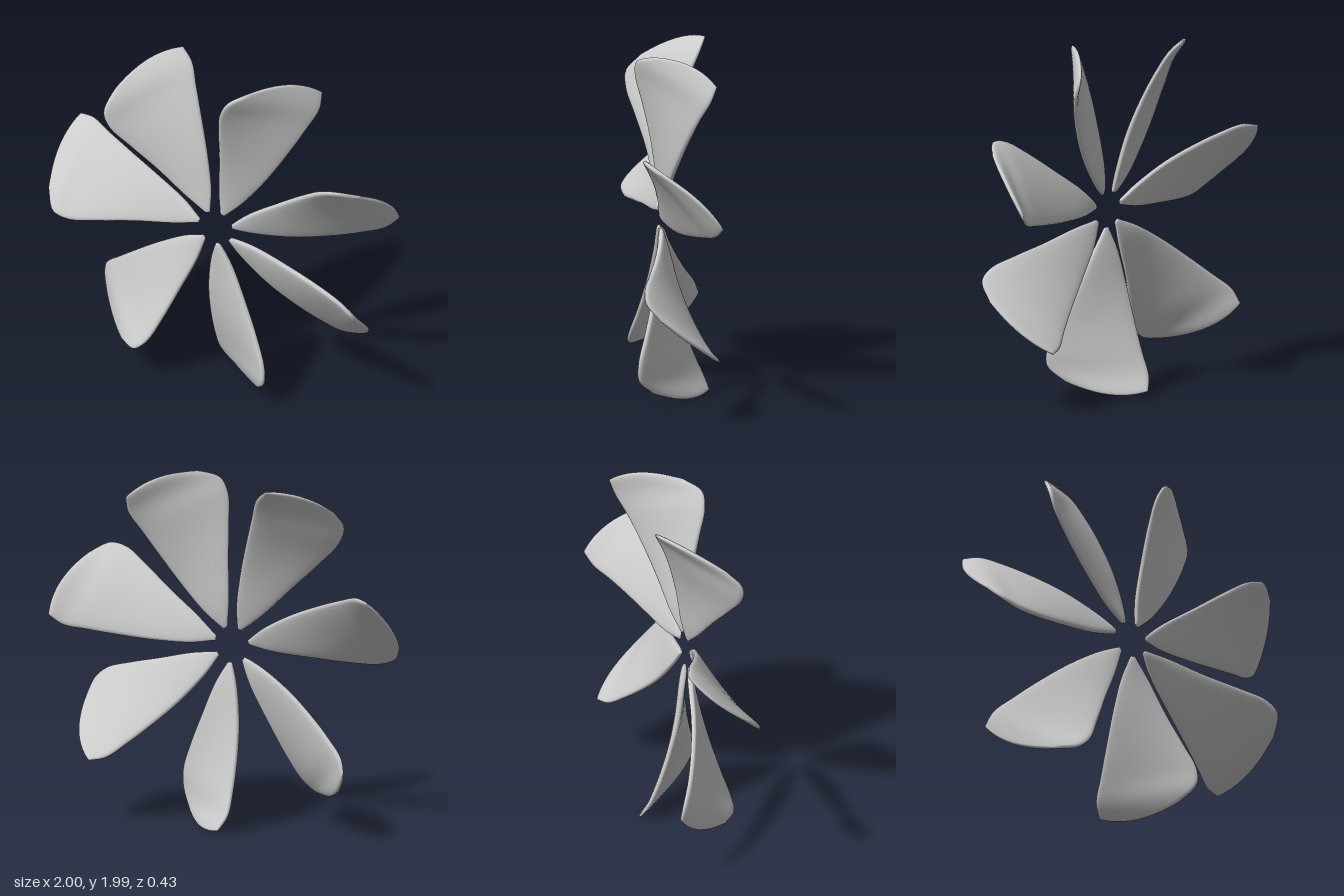
import * as THREE from 'three';

const V = (x, d, z) => new THREE.Vector3(x, -d, z);
const curve = (pts) => new THREE.CatmullRomCurve3(pts.map((p) => V(...p)), false, 'centripetal');

// Blade hanging down from the hub: both edges and the centre line, root to tip
// (sideways, distance from hub, depth)
const trailing = curve([[0, 0.1, 0.07], [-0.04, 0.23, 0.035], [-0.07, 0.43, -0.005], [-0.08, 0.63, -0.06],
  [-0.08, 0.8, -0.12], [-0.073, 0.92, -0.175], [-0.03, 1.0, -0.21]]);
const middle = curve([[0.012, 0.1, 0.07], [0.033, 0.23, 0.06], [0.067, 0.43, 0.055], [0.108, 0.625, 0.048],
  [0.14, 0.79, 0.03], [0.14, 0.91, 0.0], [0.135, 1.015, -0.07]]);
const leading = curve([[0.025, 0.1, 0.07], [0.105, 0.23, 0.085], [0.2, 0.43, 0.12], [0.29, 0.62, 0.17],
  [0.345, 0.76, 0.21], [0.345, 0.86, 0.21], [0.28, 0.945, 0.13]]);

// Middle surface: a parabola across the three curves
function surface(u, v) {
  return new THREE.Vector3()
    .addScaledVector(trailing.getPoint(u), (1 - v) * (1 - 2 * v))
    .addScaledVector(middle.getPoint(u), 4 * v * (1 - v))
    .addScaledVector(leading.getPoint(u), v * (2 * v - 1));
}

// Closed rings around the middle surface, thinning to a rounded rim
function bladeGeometry(rows = 40, ring = 32, halfThickness = 0.024) {
  const pos = [], index = [], e = 0.004;
  const clamp = (t) => THREE.MathUtils.clamp(t, e, 1 - e);
  for (let i = 0; i <= rows; i++) {
    const b = (Math.PI * i) / rows;
    const u = 0.5 - 0.5 * Math.cos(b);
    const taper = Math.sqrt(Math.abs(Math.sin(b)));
    for (let j = 0; j < ring; j++) {
      const a = (2 * Math.PI * j) / ring;
      const v = 0.5 - 0.5 * Math.cos(a);
      const s = Math.sin(a);
      const cu = clamp(u), cv = clamp(v);
      const du = surface(cu + e, cv).sub(surface(cu - e, cv));
      const dv = surface(cu, cv + e).sub(surface(cu, cv - e));
      const normal = du.cross(dv).normalize();
      const h = halfThickness * taper * Math.sign(s) * Math.sqrt(Math.abs(s));
      pos.push(...surface(u, v).addScaledVector(normal, h).toArray());
    }
  }
  for (let i = 0; i < rows; i++) {
    for (let j = 0; j < ring; j++) {
      const k = (j + 1) % ring;
      const p = i * ring + j, q = i * ring + k;
      index.push(p, p + ring, q, q, p + ring, q + ring);
    }
  }
  const g = new THREE.BufferGeometry();
  g.setAttribute('position', new THREE.Float32BufferAttribute(pos, 3));
  g.setIndex(index);
  g.computeVertexNormals();
  return g;
}

export function createModel() {
  const group = new THREE.Group();
  group.name = 'fanBlades';
  const material = new THREE.MeshStandardMaterial({ color: 0xcccccc });
  const geometry = bladeGeometry();
  // Seven blades, 50 degrees apart, leaving one wider gap
  for (let i = 0; i < 7; i++) {
    const blade = new THREE.Mesh(geometry, material);
    blade.name = `blade${i + 1}`;
    blade.position.y = 1.03;
    blade.rotation.z = THREE.MathUtils.degToRad(50 * (i - 1));
    group.add(blade);
  }
  return group;
}
